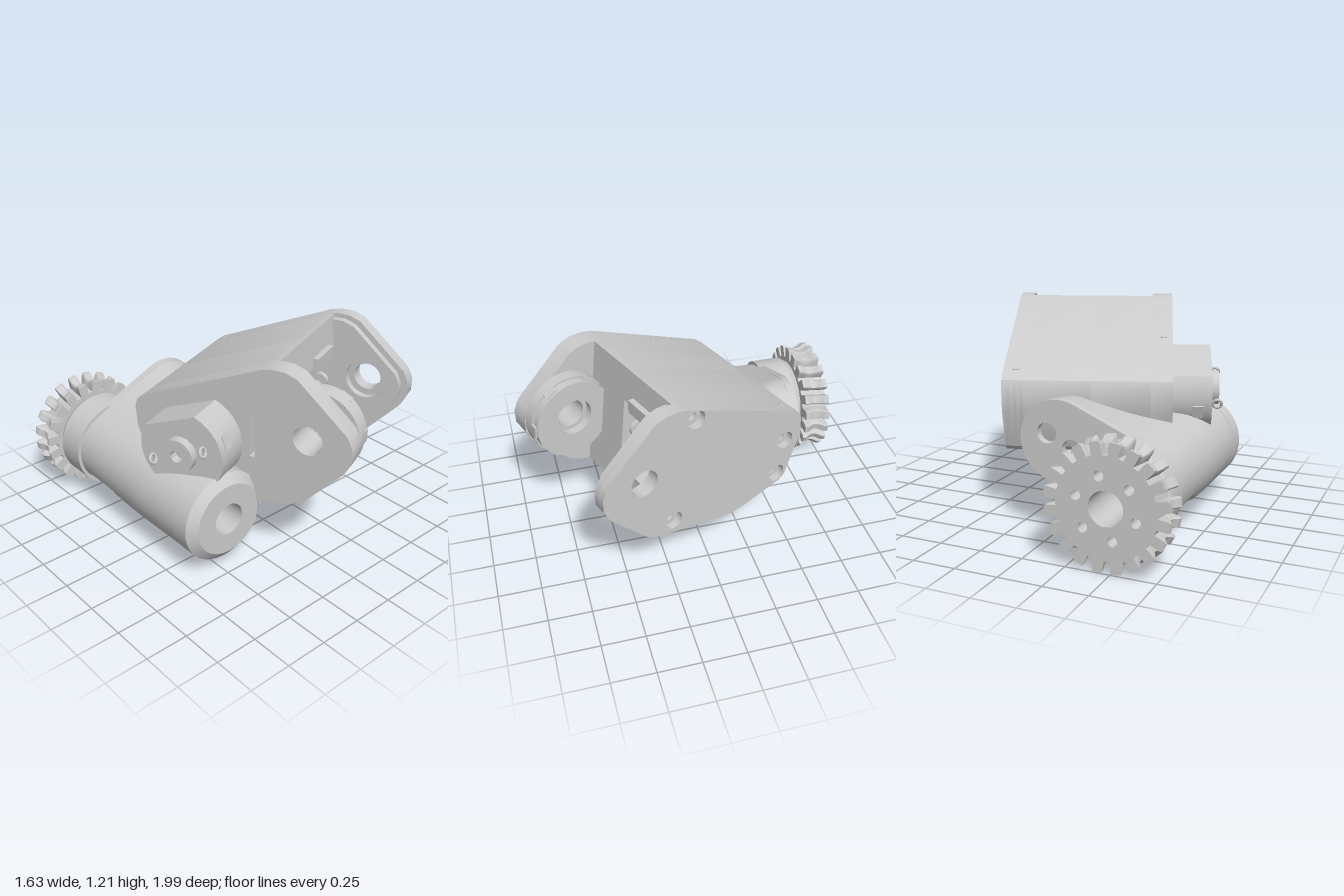
import * as THREE from 'three';
import { toCreasedNormals } from 'three/addons/utils/BufferGeometryUtils.js';

const mat = new THREE.MeshStandardMaterial({ color: 0xcccccc, side: THREE.DoubleSide });

function add(parent, name, geo, x = 0, y = 0, z = 0) {
  const m = new THREE.Mesh(toCreasedNormals(geo, 0.5), mat);
  m.name = name;
  m.position.set(x, y, z);
  parent.add(m);
  return m;
}

const toShape = pts => new THREE.Shape(pts.map(([x, y]) => new THREE.Vector2(x, y)));
const disc = (x, y, r) => new THREE.Shape().absarc(x, y, r, 0, Math.PI * 2);

function hole(shape, x, y, r) {
  shape.holes.push(new THREE.Path().absarc(x, y, r, 0, Math.PI * 2, true));
  return shape;
}

// extrusion from depth z0 to z1
function slab(shape, z0, z1, steps = 1) {
  const g = new THREE.ExtrudeGeometry(shape, { depth: z1 - z0, bevelEnabled: false, curveSegments: 20, steps });
  return g.translate(0, 0, z0);
}

function turned(profile) {
  return new THREE.LatheGeometry(profile.map(p => new THREE.Vector2(...p)), 56).rotateX(Math.PI / 2);
}

// outline around two circles joined by subdivided tangents
function link(ax, ay, ar, bx, by, br, n = 24) {
  const phi = Math.atan2(by - ay, bx - ax);
  const beta = Math.acos((ar - br) / Math.hypot(bx - ax, by - ay));
  const pts = [];
  const arc = (x, y, r, from, sweep) => {
    for (let i = 0; i <= n; i++) {
      const t = phi + from + sweep * i / n;
      pts.push([x + r * Math.cos(t), y + r * Math.sin(t)]);
    }
  };
  const tangent = ([x0, y0], [x1, y1]) => {
    for (let i = 1; i < n; i++) pts.push([x0 + (x1 - x0) * i / n, y0 + (y1 - y0) * i / n]);
  };
  arc(bx, by, br, -beta, 2 * beta);
  const end = pts[n], t = phi + beta;
  tangent(end, [ax + ar * Math.cos(t), ay + ar * Math.sin(t)]);
  arc(ax, ay, ar, beta, 2 * Math.PI - 2 * beta);
  tangent(pts[pts.length - 1], pts[0]);
  return pts;
}

const CX = -0.475, CY = 0.345, BORE = 0.095;
const HX = 0.34, HZ = -0.59, TURN = 1.209; // housing corner and its angle
// body section, from the back (f = 0) to the front (f = 1)
const section = f => link(CX, CY, 0.25 + 0.018 * Math.min(1, f * 1.6), -0.05 + 0.1 * f, 0.55 - 0.07 * f, 0.23 - 0.07 * f);

// lower body: section lofted along z, undercut by a vaulted arch, kept below the motor pocket
function lowerBody() {
  const z0 = -0.63, z1 = 0.34, n = 80, pos = [], idx = [];
  const c = Math.cos(TURN), s = Math.sin(TURN);
  let count = 0;
  for (let i = 0; i <= n; i++) {
    const z = z0 + (z1 - z0) * i / n;
    const d = (z + 0.42) / (z > -0.42 ? 0.34 : 0.4);
    const cut = Math.max(0, 1 - d * d);
    const ring = section(i / n);
    count = ring.length;
    for (const [x, y] of ring) {
      const vault = 0.16 * Math.max(0, 1 - ((x + 0.16) / 0.2) ** 2);
      const depth = (x - HX) * c + (z - HZ) * s;
      const across = (z - HZ) * c - (x - HX) * s;
      const roof = across < 0.93 ? Math.max(0.55, 0.78 - 2 * Math.max(0, depth - 0.05)) : 1;
      pos.push(x, Math.max(Math.min(y, roof), 0.08 + cut * (0.16 + vault)), z);
    }
  }
  for (let i = 0; i < n; i++) for (let j = 0; j < count; j++) {
    const k = (j + 1) % count, a = i * count + j, b = i * count + k;
    idx.push(a, b, b + count, a, b + count, a + count);
  }
  const g = new THREE.BufferGeometry();
  g.setAttribute('position', new THREE.Float32BufferAttribute(pos, 3));
  g.setIndex(idx);
  return g;
}

// gear with slightly twisted teeth, grooved round the middle of their tips
function gearGeometry() {
  const teeth = 20, pts = [];
  for (let i = 0; i < teeth; i++) {
    for (const [f, r] of [[0, 0.275], [0.22, 0.275], [0.27, 0.335], [0.33, 0.345], [0.77, 0.345], [0.83, 0.335], [0.88, 0.275]]) {
      const t = (i + f) / teeth * Math.PI * 2;
      pts.push([r * Math.cos(t), r * Math.sin(t)]);
    }
  }
  const s = hole(toShape(pts), 0, 0, BORE);
  for (let i = 0; i < 6; i++) hole(s, 0.17 * Math.cos(i * Math.PI / 3 + 0.3), 0.17 * Math.sin(i * Math.PI / 3 + 0.3), 0.027);
  const g = slab(s, -0.08, 0.08, 10), p = g.attributes.position;
  for (let i = 0; i < p.count; i++) {
    const x = p.getX(i), y = p.getY(i), z = p.getZ(i), r = Math.hypot(x, y);
    if (r < 0.22) continue;
    const t = Math.atan2(y, x) + z * 0.4;
    const q = r > 0.3 ? r - 0.028 * Math.max(0, 1 - (z / 0.055) ** 2) : r;
    p.setXY(i, q * Math.cos(t), q * Math.sin(t));
  }
  return g;
}

// side cheek outline: x runs back to front, y is height
const BACK_TOP = [[0, 0.79], [0.015, 0.835], [0.06, 0.87], [0.8, 1.195]];
const BACK_LOW = [[0.5, 0.325], [0.42, 0.335], [0.14, 0.4], [0.1, 0.43], [0.01, 0.66]];
const NOSE = [[0.87, 1.21], [0.94, 1.21], [1.01, 1.185], [1.3, 0.925], [1.33, 0.86], [1.33, 0.78],
  [1.29, 0.7], [1.07, 0.46], [1.0, 0.425]];
const PIVOT = [1.08, 0.845];
const SCREWS = [[0.75, 1.11], [0.115, 0.685], [0.165, 0.465], [0.9, 0.49]];

function cheek(pivotR, screwR, scale = 1) {
  const pts = [...BACK_TOP, ...NOSE, ...BACK_LOW];
  const s = toShape(pts.map(([x, y]) => [0.65 + (x - 0.65) * scale, 0.78 + (y - 0.78) * scale]));
  hole(s, ...PIVOT, pivotR);
  if (screwR) for (const [x, y] of SCREWS) hole(s, x, y, screwR);
  return s;
}

function buildHousing() {
  const g = new THREE.Group();
  g.name = 'housing';
  g.position.set(HX, 0, HZ);
  g.rotation.y = -TURN;

  // right cheek: counterbored outer plate and inset inner plate
  add(g, 'rightCheek', slab(cheek(0.082, 0.056), 0, 0.045));
  add(g, 'rightCheekSeat', slab(cheek(0.082, 0.028), 0.045, 0.08));
  add(g, 'rightCheekInner', slab(cheek(0.12, 0, 0.94), 0.08, 0.122));

  // left cheek with a narrow slot
  const left = cheek(0.085, 0);
  left.holes.push(new THREE.Path([[0.74, 0.66], [0.74, 0.91], [0.77, 0.91], [0.77, 0.66]].map(p => new THREE.Vector2(...p))));
  add(g, 'leftCheek', slab(left, 0.83, 0.953));

  // block between the cheeks, leaning forward at the foot, with a rounded motor pocket
  const top = [0.85, 1.205], foot = [0.94, 0.413];
  const block = toShape([...BACK_TOP, top, foot, ...BACK_LOW]);
  add(g, 'centreBlock', slab(block, 0.5, 0.83));
  add(g, 'blockEnd', slab(block, 0.08, 0.118));
  const pocket = [];
  for (let i = 0; i <= 20; i++) {
    const t = Math.PI / 2 + Math.PI * i / 20;
    pocket.push([0.44 + 0.24 * Math.cos(t), 0.785 + 0.215 * Math.sin(t)]);
  }
  add(g, 'pocketBlock', slab(toShape([...BACK_TOP, top, [0.873, 1.0], ...pocket, [0.921, 0.57], foot, ...BACK_LOW]), 0.118, 0.5));
  add(g, 'upperLip', new THREE.BoxGeometry(0.06, 0.08, 0.22), 0.87, 1.015, 0.31);
  add(g, 'lowerLip', new THREE.BoxGeometry(0.06, 0.03, 0.22), 0.91, 0.575, 0.28);

  // bosses on both pocket walls and a short shaft
  for (const [x, y] of [[0.6, 0.71], [0.8, 0.78]]) {
    const boss = hole(disc(x, y, 0.05), x, y, 0.022);
    add(g, 'pocketBoss', slab(boss, 0.118, 0.15));
    add(g, 'pocketBoss', slab(boss, 0.48, 0.5));
  }
  add(g, 'motorShaft', slab(disc(0.8, 0.78, 0.02), 0.4, 0.5));

  // pivot hub inside the left cheek
  const hub = (r, h, a, b) => add(g, 'pivotHub', slab(hole(disc(1.08, 0.835, r), ...PIVOT, h), a, b));
  hub(0.245, 0.085, 0.76, 0.83);
  hub(0.235, 0.11, 0.71, 0.76);
  for (let i = 0; i < 6; i++) {
    const t = i * Math.PI / 3;
    const clip = add(g, 'hubClip', new THREE.BoxGeometry(0.015, 0.07, 0.04), 1.08 + 0.237 * Math.cos(t), 0.835 + 0.237 * Math.sin(t), 0.74);
    clip.rotation.z = t;
  }

  // cover screws on the sloping top
  for (const [x, z] of [[0.1, 0.07], [0.41, 0.9]]) {
    const s = add(g, 'coverScrew', new THREE.CylinderGeometry(0.02, 0.02, 0.02, 20), x, 0.87 + (x - 0.06) * 0.439 - 0.006, z);
    s.rotation.z = 0.414;
  }

  // flat-sided motor outside the left cheek, tilted with the cover
  const motor = new THREE.Group();
  motor.name = 'motor';
  motor.position.set(0.44, 0.715, 0);
  motor.rotation.z = 0.38;
  g.add(motor);
  const can = [], a = Math.asin(0.19 / 0.255);
  for (const base of [0, Math.PI]) for (let i = 0; i <= 14; i++) {
    const t = base - a + 2 * a * i / 14;
    can.push([0.255 * Math.cos(t), 0.255 * Math.sin(t)]);
  }
  add(motor, 'motorCan', slab(toShape(can), 0.95, 1.18));
  add(motor, 'motorEndCap', slab(hole(disc(0, 0, 0.1), 0, 0, 0.035), 1.18, 1.23));
  for (const side of [-1, 1]) {
    const t = add(motor, 'motorTerminal', new THREE.TorusGeometry(0.026, 0.009, 8, 16), side * 0.17, 0, 1.215);
    t.rotation.y = Math.PI / 2;
    add(motor, 'motorClip', new THREE.BoxGeometry(0.02, 0.08, 0.06), side * 0.25, 0, 1.1);
  }
  return g;
}

export function createModel() {
  const model = new THREE.Group();
  model.name = 'gearedJoint';
  model.add(buildHousing());

  // lower body and its end plates
  add(model, 'lowerBody', lowerBody());
  const back = hole(toShape(section(0)), CX, CY, BORE);
  hole(back, 0.02, 0.59, 0.058);
  hole(back, -0.13, 0.51, 0.058);
  add(model, 'backPlate', slab(back, -0.665, -0.62));
  add(model, 'frontPlate', slab(hole(toShape(section(1)), CX, CY, BORE), 0.33, 0.345));

  // axle barrel: front ring, rear collar, bore
  add(model, 'frontRing', turned([[BORE, 0.33], [0.27, 0.33], [0.27, 0.435], [0.215, 0.48], [BORE, 0.48]]), CX, CY);
  add(model, 'rearCollar', turned([[BORE, -0.84], [0.245, -0.84], [0.27, -0.8], [0.27, -0.62], [BORE, -0.62]]), CX, CY);
  add(model, 'axleBore', turned([[BORE, -0.84], [BORE, 0.48]]), CX, CY);

  add(model, 'gear', gearGeometry(), CX, CY, -0.92);
  return model;
}
